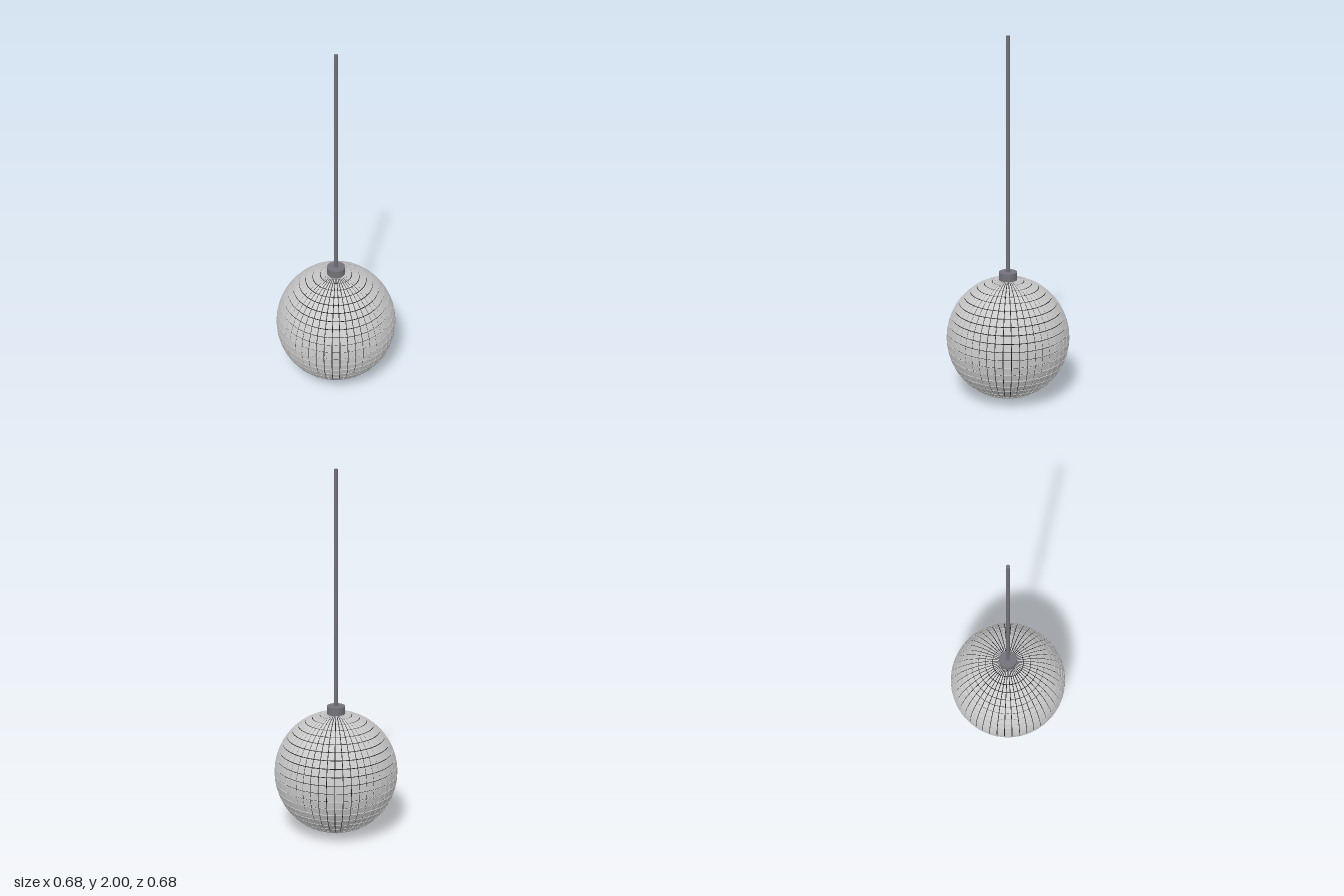
import * as THREE from 'three';
import { mergeGeometries } from 'three/addons/utils/BufferGeometryUtils.js';

const CENTER_Y = 0.34;
const TILE_RADIUS = 0.341;
const CORE_RADIUS = 0.337;
const COLUMNS = 48;
const ROWS = 24;
const GAP = 0.004;

// A thin box wrapped onto the sphere: x -> longitude, y -> latitude, z -> radius
function tileGeometry(row) {
  const step = Math.PI / ROWS;
  const latitude = Math.PI / 2 - (row + 0.5) * step;
  const geometry = new THREE.BoxGeometry(1, 1, 1);
  const position = geometry.attributes.position;
  for (let i = 0; i < position.count; i++) {
    const lat = latitude + position.getY(i) * (step - GAP / TILE_RADIUS);
    const ringRadius = TILE_RADIUS * Math.cos(lat);
    const lon = position.getX(i) * ((2 * Math.PI) / COLUMNS - GAP / ringRadius);
    const r = position.getZ(i) > 0 ? TILE_RADIUS : CORE_RADIUS - 0.004;
    position.setXYZ(
      i,
      r * Math.cos(lat) * Math.sin(lon),
      r * Math.sin(lat),
      r * Math.cos(lat) * Math.cos(lon)
    );
  }
  geometry.computeVertexNormals();
  return geometry;
}

export function createModel() {
  const model = new THREE.Group();
  model.name = 'mirrorBallPendant';

  const mirror = new THREE.MeshStandardMaterial({ color: 0xcccccc, flatShading: true });
  const grout = new THREE.MeshStandardMaterial({ color: 0x1c1c22 });
  const metal = new THREE.MeshStandardMaterial({ color: 0x74727a });

  const add = (name, geometry, material, y) => {
    const mesh = new THREE.Mesh(geometry, material);
    mesh.name = name;
    mesh.position.y = y;
    model.add(mesh);
  };

  // Dark ball that shows in the gaps between the tiles
  add('ballCore', new THREE.SphereGeometry(CORE_RADIUS, 96, 48), grout, CENTER_Y);

  // Mirror tiles, one ring per latitude, leaving the poles open
  const tiles = [];
  for (let row = 1; row < ROWS - 1; row++) {
    const tile = tileGeometry(row);
    for (let column = 0; column < COLUMNS; column++) {
      tiles.push(tile.clone().rotateY(((column + 0.5) * 2 * Math.PI) / COLUMNS));
    }
  }
  add('mirrorTiles', mergeGeometries(tiles), mirror, CENTER_Y);

  // Cap on top of the ball and the rod it hangs from
  add('cap', new THREE.CylinderGeometry(0.05, 0.05, 0.05, 32), metal, 0.695);
  add('rod', new THREE.CylinderGeometry(0.01, 0.01, 1.3, 16), metal, 1.35);

  return model;
}
